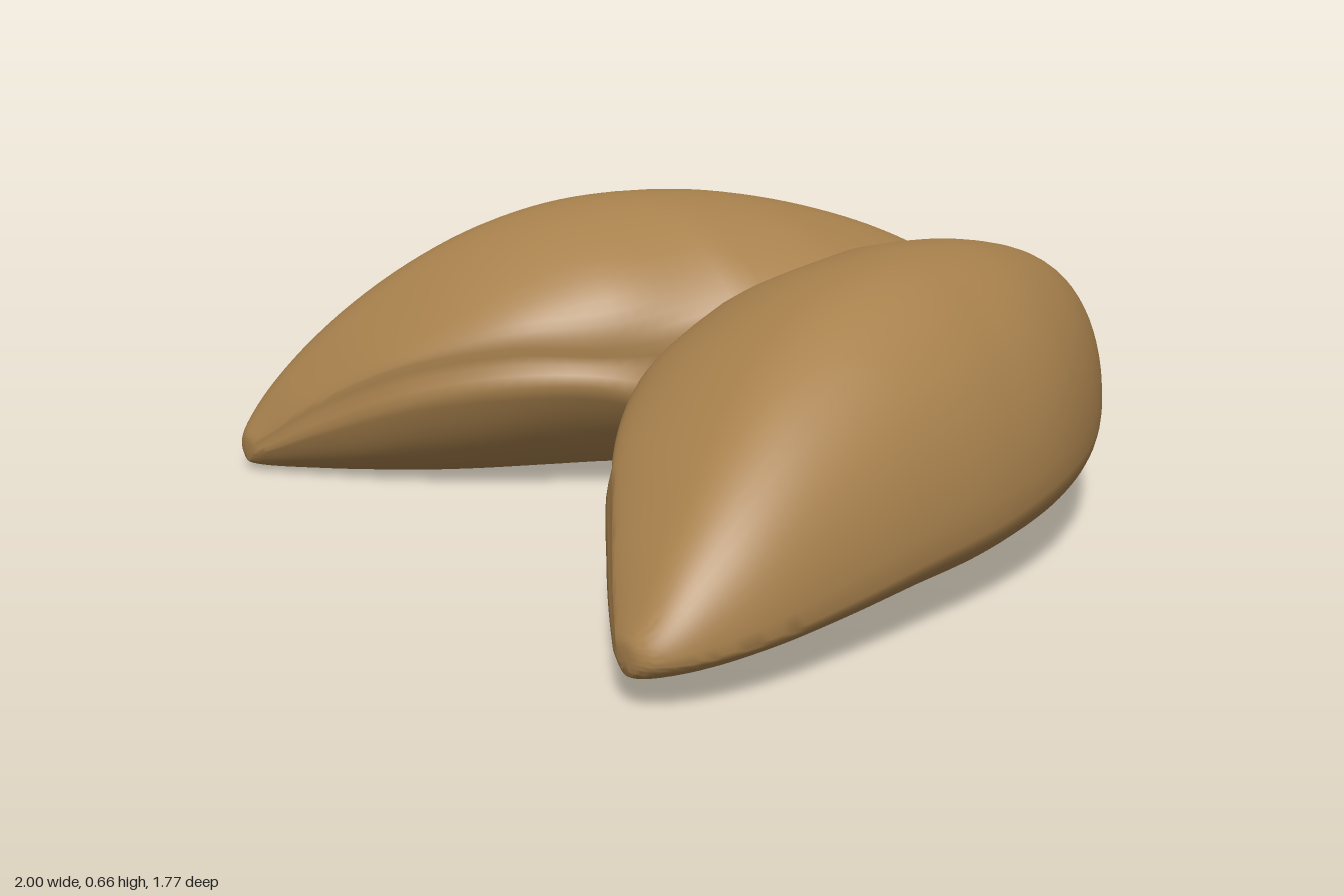
import * as THREE from 'three';
import { toCreasedNormals } from 'three/addons/utils/BufferGeometryUtils.js';

// Cross-sections of one lobe, spaced along a half circle from back to tip:
// inner x, outer x, top y, widest y, bottom y, upper rim y, lower lip y, openness
const ROWS = [
  [0, 0.06, 0.262, 0.255, 0.24, 0.26, 0.24, 0],
  [0, 0.215, 0.365, 0.265, 0.16, 0.345, 0.16, 0],
  [0, 0.385, 0.465, 0.265, 0.09, 0.41, 0.09, 0],
  [0, 0.55, 0.55, 0.25, 0.045, 0.455, 0.045, 0],
  [-0.05, 0.705, 0.615, 0.23, 0.015, 0.475, 0.015, 0],
  [-0.06, 0.83, 0.655, 0.215, 0.006, 0.475, 0.02, 0],
  [0.035, 0.91, 0.66, 0.19, 0.005, 0.41, 0.13, 0.4],
  [0.115, 0.955, 0.62, 0.17, 0.012, 0.37, 0.27, 1],
  [0.245, 0.985, 0.53, 0.145, 0.02, 0.385, 0.295, 1],
  [0.43, 1.0, 0.405, 0.125, 0.033, 0.345, 0.26, 1],
  [0.64, 0.985, 0.275, 0.11, 0.045, 0.25, 0.18, 0.8],
  [0.79, 0.95, 0.17, 0.105, 0.058, 0.155, 0.115, 0.4],
  [0.865, 0.90, 0.12, 0.10, 0.075, 0.11, 0.09, 0],
];
const LAST = ROWS.length - 1;
const HALF = 0.885;
const ARC = 14;
const STEPS = 6;
const { lerp, clamp, smoothstep } = THREE.MathUtils;

// Smooth interpolation of all columns
function rowAt(t) {
  const i = Math.min(Math.floor(t), LAST - 1);
  const f = t - i, f2 = f * f, f3 = f2 * f;
  return ROWS[i].map((b, c) => {
    const d = ROWS[i + 1][c];
    const before = i > 0 ? ROWS[i - 1][c] : 2 * b - d;
    const after = i + 2 <= LAST ? ROWS[i + 2][c] : 2 * d - b;
    return (2 * f3 - 3 * f2 + 1) * b + (f3 - 2 * f2 + f) * (d - before) / 2
      + (3 * f2 - 2 * f3) * d + (f3 - f2) * (after - b) / 2;
  });
}

// Closed outline: crown, outer flank, underside, lip, groove, rim
function outline([xi0, xo, yt, yw, yb, yr, yl, k0], z) {
  const k = clamp(k0, 0, 1);
  const xi = Math.max(xi0, 0);
  const xp = lerp(xi, xo, 0.56), xb = lerp(xi, xo, 0.5);
  const rim = xi + 0.025 * k;
  const cleft = smoothstep(z, -0.8, -0.3);
  const pts = [];
  const arc = (fn, from, to) => {
    for (let i = from; i <= to; i++) pts.push(fn(i / ARC, (i / ARC) * Math.PI / 2));
  };
  arc((u, a) => [lerp(xp, xo, Math.sin(a)), lerp(yw, yt, Math.cos(a))], 0, ARC - 1);
  pts.push([xo, yw]);
  arc((u, a) => [
    lerp(xb, xo, Math.max(Math.cos(a), 0) ** 1.15),
    lerp(yw, yb, Math.sin(a) ** 1.15),
  ], 1, ARC);
  arc((u, a) => [lerp(xb, xi, lerp(u, Math.sin(a), 0.4 * k)), lerp(yl, yb, Math.cos(a))], 1, ARC);
  pts.push([xi + 0.01 * k, lerp(yl, yr, 0.3)]);
  pts.push([xi + 0.026 * k, lerp(yl, yr, 0.55)]);
  pts.push([xi + 0.027 * k, lerp(yl, yr, 0.8)]);
  arc((u) => {
    const v = 1 - u, b = v * Math.PI / 2;
    // the fold is a soft valley at the back and a sharp cleft towards the front
    const rise = lerp(0.5 + 0.5 * Math.cos(2 * b), Math.cos(b), cleft);
    return [lerp(xp, rim, lerp(v, Math.sin(b), k)), lerp(yr, yt, rise)];
  }, 0, ARC - 1);
  return pts;
}

// Loft the sections; side is +1 or -1, the -1 lobe is a little shorter and lower
function lobe(side) {
  const pos = [], index = [];
  const count = LAST * STEPS;
  let n = 0;
  const put = (x, y, z) => {
    const f = Math.max(z, 0);
    const lower = 0.02 * smoothstep(x, 0, 0.4);
    if (side > 0) pos.push(x, y, z);
    else pos.push(-x, y * (1 - lower) - 0.055 * f * f, z * (1 - 0.08 * f));
  };
  const tri = (a, b, c) => (side > 0 ? index.push(a, b, c) : index.push(a, c, b));
  for (let s = 0; s <= count; s++) {
    const z = -HALF * Math.cos((s / count) * Math.PI);
    const pts = outline(rowAt(s / STEPS), z);
    n = pts.length;
    for (const [x, y] of pts) put(x, y, z);
  }
  for (let s = 0; s < count; s++) {
    for (let j = 0; j < n; j++) {
      const a = s * n + j, b = s * n + (j + 1) % n;
      tri(a, a + n, b);
      tri(b, a + n, b + n);
    }
  }
  // caps at the back and the tip
  const back = pos.length / 3, first = ROWS[0], end = ROWS[LAST];
  put(0, first[3], -HALF);
  put((end[0] + end[1]) / 2, end[3], HALF + 0.002);
  for (let j = 0; j < n; j++) {
    const m = (j + 1) % n;
    tri(back, j, m);
    tri(back + 1, count * n + m, count * n + j);
  }
  const geo = new THREE.BufferGeometry();
  geo.setAttribute('position', new THREE.Float32BufferAttribute(pos, 3));
  geo.setIndex(index);
  return toCreasedNormals(geo, 1.0);
}

export function createModel() {
  const group = new THREE.Group();
  group.name = 'foldedCookie';
  const baked = new THREE.MeshStandardMaterial({ color: 0xa8814d });
  baked.name = 'bakedDough';
  for (const side of [1, -1]) {
    const mesh = new THREE.Mesh(lobe(side), baked);
    mesh.name = side > 0 ? 'leftLobe' : 'rightLobe';
    group.add(mesh);
  }
  return group;
}
